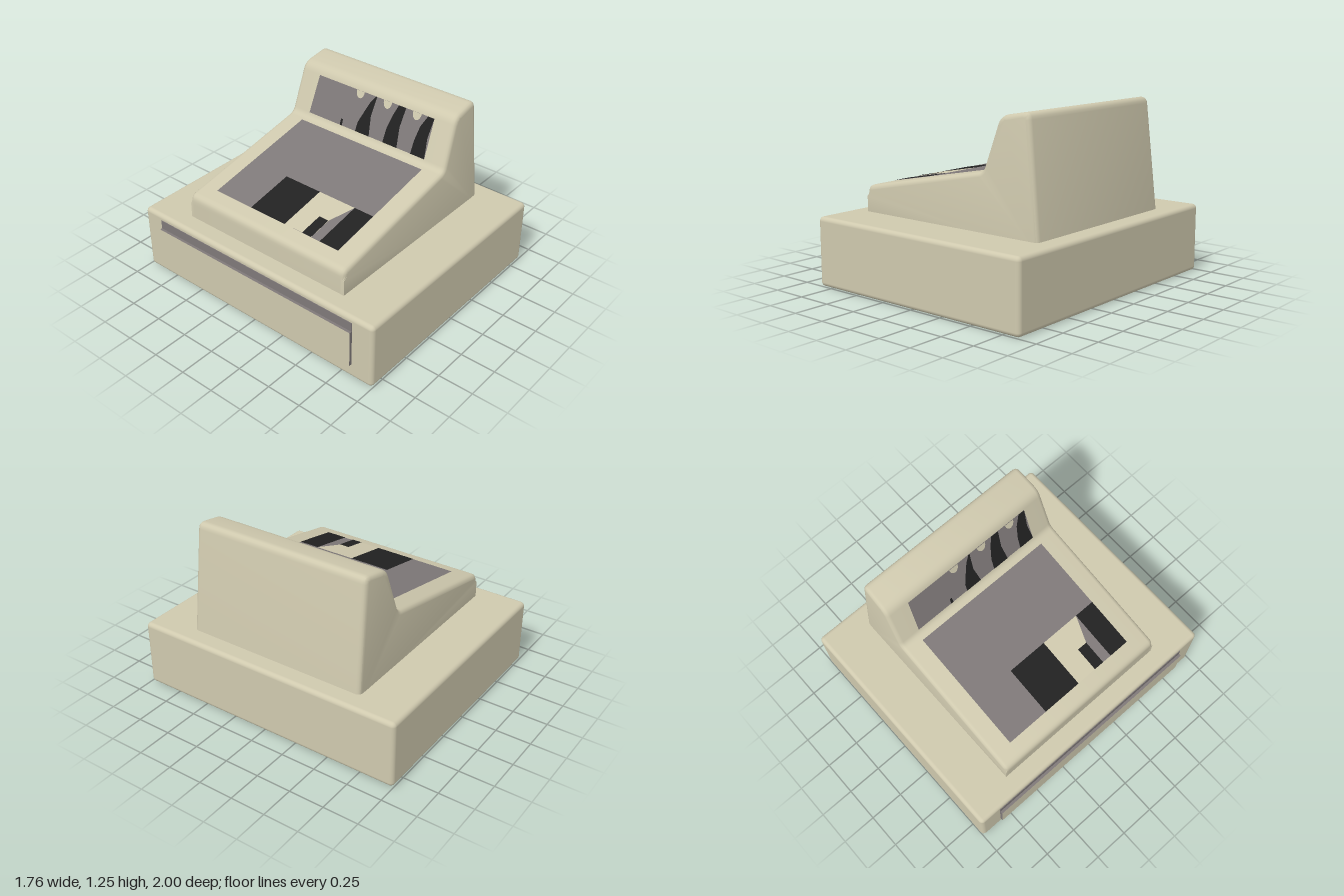
import * as THREE from 'three';
import { toCreasedNormals } from 'three/addons/utils/BufferGeometryUtils.js';
import { RoundedBoxGeometry } from 'three/addons/geometries/RoundedBoxGeometry.js';

const mat = (name, color) => {
  const m = new THREE.MeshStandardMaterial({ color });
  m.name = name;
  return m;
};

export function createModel() {
  const beige = mat('beige plastic', 0xcfc9ae);
  const grey = mat('grey panel', 0x7f7979);
  const black = mat('black', 0x212121);
  const group = new THREE.Group();
  const add = (name, geo, material) => {
    const mesh = new THREE.Mesh(geo, material);
    mesh.name = name;
    group.add(mesh);
    return mesh;
  };

  // Base box holding the drawer
  add('base', new RoundedBoxGeometry(1.735, 0.48, 2, 4, 0.03), beige).position.set(0.0075, 0.24, 0);

  // Drawer front: grey edges with a beige face, below a grey slot
  const drawer = new THREE.BoxGeometry(0.04, 0.265, 1.68);
  add('drawerFront', drawer, [grey, beige, grey, grey, grey, grey]).position.set(-0.8625, 0.2425, 0);
  add('drawerSlot', new THREE.BoxGeometry(0.008, 0.07, 1.68), grey).position.set(-0.86, 0.405, 0);

  // Housing: side profile with rounded corners [x, y, corner size]
  const profile = [
    [-0.73, 0.4, 0], [0.754, 0.4, 0], [0.662, 1.259, 0.05], [0.437, 1.219, 0.055],
    [0.31, 0.865, 0.035], [-0.73, 0.66, 0.045], [-0.73, 0.59, 0],
  ];
  const shape = new THREE.Shape();
  profile.forEach(([x, y, r], i) => {
    const p = new THREE.Vector2(x, y);
    const toward = (j) => {
      const q = profile[(j + profile.length) % profile.length];
      return new THREE.Vector2(q[0], q[1]).sub(p).setLength(r).add(p);
    };
    if (i === 0) shape.moveTo(x, y);
    else if (r === 0) shape.lineTo(x, y);
    else {
      const a = toward(i - 1), b = toward(i + 1);
      shape.lineTo(a.x, a.y);
      shape.quadraticCurveTo(x, y, b.x, b.y);
    }
  });
  const housing = new THREE.ExtrudeGeometry(shape, {
    depth: 1.28, bevelEnabled: true, bevelSize: 0.03, bevelThickness: 0.03,
    bevelOffset: -0.03, bevelSegments: 3, curveSegments: 5,
  });
  housing.translate(0, 0, -0.64);
  const pos = housing.attributes.position;
  for (let i = 0; i < pos.count; i++) {
    const x = pos.getX(i), y = pos.getY(i);
    // Sharp lower front corners
    if (x < -0.69 && y < 0.6) pos.setX(i, -0.73);
    // The raised display narrows towards its top
    const rise = Math.max(0, y - 0.87 + 1.056 * (x - 0.31));
    pos.setZ(i, pos.getZ(i) * (1 - 0.04 * rise));
  }
  add('housing', toCreasedNormals(housing, 0.6), beige);

  // Thin painted plate on a sloping face, outlined by [x, z] points
  const plate = (name, points, material, face, lift) => {
    const outline = new THREE.Shape(points.map(([x, z]) => new THREE.Vector2(x, -z)));
    const geo = new THREE.ShapeGeometry(outline);
    geo.rotateX(-Math.PI / 2);
    const p = geo.attributes.position;
    const len = Math.hypot(face.slope, 1);
    for (let i = 0; i < p.count; i++) {
      const x = p.getX(i);
      p.setXYZ(i, x - face.slope / len * lift,
        face.y + face.slope * (x - face.x) + lift / len, p.getZ(i));
    }
    geo.computeVertexNormals();
    add(name, geo, material);
  };
  const rect = (x0, x1, z0, z1) => [[x0, z0], [x1, z0], [x1, z1], [x0, z1]];

  // Keypad
  const deck = { x: -0.73, y: 0.66, slope: 0.197 };
  plate('keypad', rect(-0.61, 0.26, -0.53, 0.525), grey, deck, 0.004);
  plate('keyBlock', rect(-0.61, -0.26, -0.215, 0.08), black, deck, 0.006);
  plate('keyBlockFar', rect(-0.61, -0.26, 0.375, 0.525), black, deck, 0.006);
  plate('keypadGap', [[-0.61, 0.08], [-0.26, 0.08], [-0.26, 0.375], [-0.44, 0.305], [-0.61, 0.305]],
    beige, deck, 0.006);
  plate('keySmall', rect(-0.61, -0.44, 0.23, 0.305), black, deck, 0.008);

  // Display screen with curved dark bands and scallops along its top edge
  const wall = { x: 0.31, y: 0.865, slope: 2.787 };
  plate('screen', [[0.322, -0.51], [0.418, -0.49], [0.418, 0.5], [0.322, 0.5]], grey, wall, 0.004);
  const bands = [
    [[0.322, -0.09], [0.345, -0.085], [0.375, -0.05], [0.4, -0.02], [0.418, 0.015], [0.418, 0.025], [0.37, 0.01], [0.322, 0.03]],
    [[0.322, 0.15], [0.355, 0.155], [0.39, 0.18], [0.418, 0.21], [0.418, 0.27], [0.37, 0.255], [0.322, 0.27]],
    [[0.322, 0.385], [0.355, 0.39], [0.39, 0.41], [0.418, 0.45], [0.418, 0.5], [0.37, 0.485], [0.322, 0.5]],
  ];
  bands.forEach((b) => plate('screenBand', b, black, wall, 0.006));
  plate('screenMark', rect(0.322, 0.338, -0.228, -0.21), black, wall, 0.006);
  for (const z of [-0.115, 0.12, 0.365]) {
    const arc = [];
    for (let i = 0; i <= 8; i++) {
      const a = Math.PI * i / 8;
      arc.push([0.418 - 0.018 * Math.sin(a), z + 0.035 * Math.cos(a)]);
    }
    plate('screenScallop', arc, beige, wall, 0.008);
  }
  return group;
}
